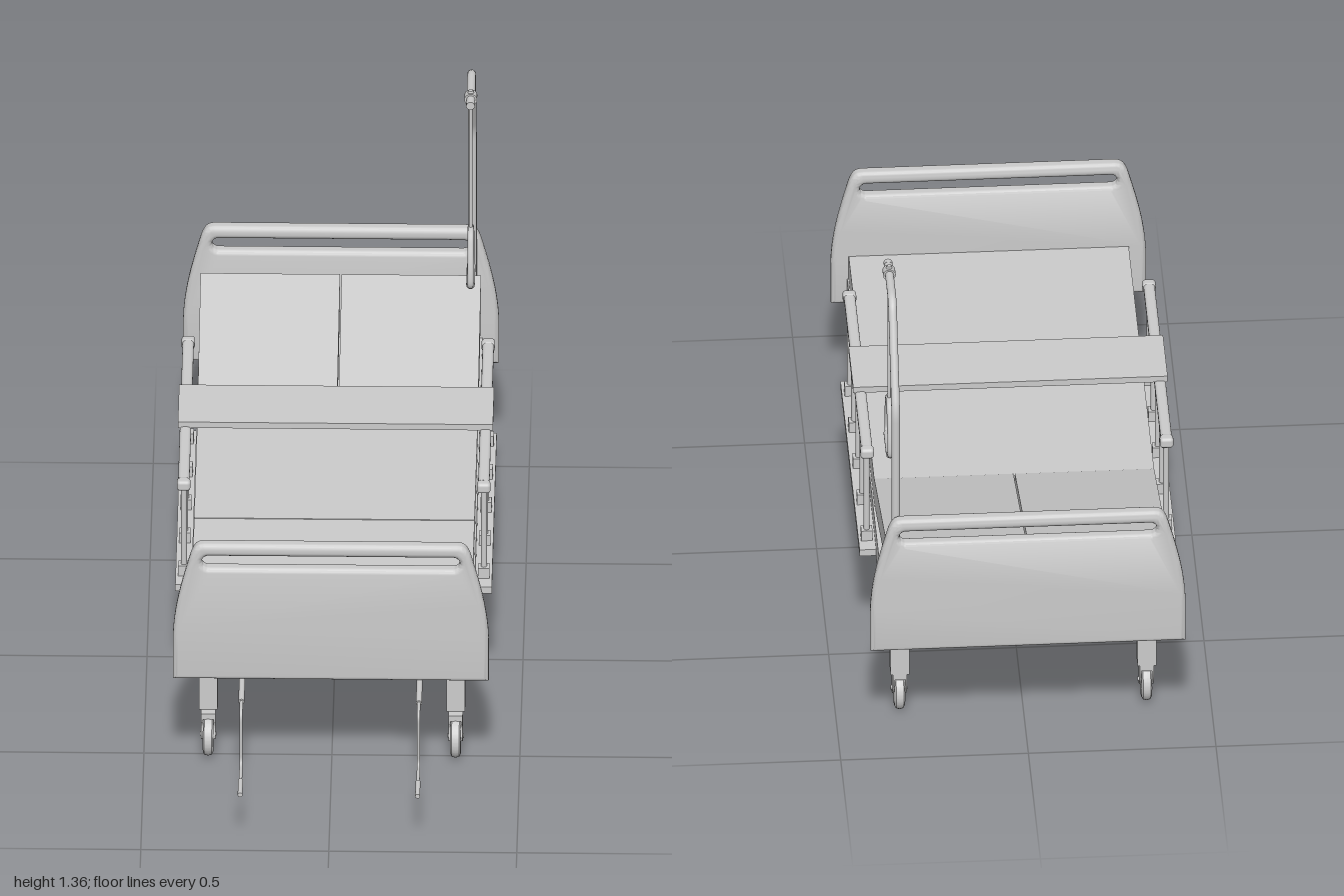
import * as THREE from 'three';
import { toCreasedNormals } from 'three/addons/utils/BufferGeometryUtils.js';
import { RoundedBoxGeometry } from 'three/addons/geometries/RoundedBoxGeometry.js';

const grey = new THREE.MeshStandardMaterial({ color: 0xcccccc });
const V = (x, y, z) => new THREE.Vector3(x, y, z);

function add(parent, name, geometry, x = 0, y = 0, z = 0) {
  const mesh = new THREE.Mesh(geometry, grey);
  mesh.name = name;
  mesh.position.set(x, y, z);
  parent.add(mesh);
  return mesh;
}

// Box given by its extents
function box(parent, name, x0, x1, y0, y1, z0, z1) {
  return add(parent, name, new THREE.BoxGeometry(x1 - x0, y1 - y0, z1 - z0),
    (x0 + x1) / 2, (y0 + y1) / 2, (z0 + z1) / 2);
}

// Round bar between two points
function rod(parent, name, a, b, r) {
  const mesh = add(parent, name, new THREE.CylinderGeometry(r, r, a.distanceTo(b), 16));
  mesh.position.copy(a).add(b).multiplyScalar(0.5);
  mesh.quaternion.setFromUnitVectors(V(0, 1, 0), b.clone().sub(a).normalize());
  return mesh;
}

// Path of straight runs with rounded corners
function roundedPath(points, radius) {
  const path = new THREE.CurvePath();
  let from = points[0];
  for (let i = 1; i < points.length - 1; i++) {
    const p = points[i];
    const toward = (q) => p.clone().add(q.clone().sub(p).setLength(radius));
    const a = toward(points[i - 1]), b = toward(points[i + 1]);
    path.add(new THREE.LineCurve3(from, a));
    path.add(new THREE.QuadraticBezierCurve3(a, p, b));
    from = b;
  }
  path.add(new THREE.LineCurve3(from, points[points.length - 1]));
  return path;
}

// Head or foot panel with a hand slot and rounded rim
function endBoard(parent, name, z) {
  const s = new THREE.Shape();
  s.moveTo(-0.42, 0.34);
  s.lineTo(0.42, 0.34);
  s.lineTo(0.42, 0.47);
  s.bezierCurveTo(0.417, 0.56, 0.395, 0.64, 0.376, 0.71);
  s.bezierCurveTo(0.368, 0.74, 0.36, 0.757, 0.335, 0.757);
  s.lineTo(-0.335, 0.757);
  s.bezierCurveTo(-0.36, 0.757, -0.368, 0.74, -0.376, 0.71);
  s.bezierCurveTo(-0.395, 0.64, -0.417, 0.56, -0.42, 0.47);
  const h = new THREE.Path();
  h.moveTo(-0.325, 0.684);
  h.absarc(-0.325, 0.702, 0.018, -Math.PI / 2, Math.PI / 2, true);
  h.lineTo(0.325, 0.72);
  h.absarc(0.325, 0.702, 0.018, Math.PI / 2, -Math.PI / 2, true);
  s.holes.push(h);
  const g = new THREE.ExtrudeGeometry(s, {
    depth: 0.012, curveSegments: 10, bevelEnabled: true, bevelSegments: 4,
    bevelSize: 0.014, bevelThickness: 0.014, bevelOffset: -0.014,
  });
  g.translate(0, 0, -0.006);
  add(parent, name, toCreasedNormals(g, 0.7), 0, 0, z);
}

// Leg with a swivel wheel
function leg(parent, x, z) {
  const g = new THREE.Group();
  g.name = 'leg';
  g.position.set(x, 0, z);
  parent.add(g);
  box(g, 'legPost', -0.025, 0.025, 0.13, 0.345, -0.021, 0.021);
  box(g, 'casterPlate', -0.019, 0.019, 0.113, 0.13, -0.02, 0.044);
  const tyre = [[0, -0.014], [0.048, -0.014], [0.056, -0.01], [0.059, 0], [0.056, 0.01], [0.048, 0.014], [0, 0.014]];
  const wheel = add(g, 'wheel',
    toCreasedNormals(new THREE.LatheGeometry(tyre.map((p) => new THREE.Vector2(...p)), 32), 0.6), 0, 0.059, 0.026);
  wheel.rotation.z = Math.PI / 2;
  // Curved fork cheeks on both sides of the wheel
  const s = new THREE.Shape();
  s.moveTo(-0.02, 0.122);
  s.lineTo(-0.02, 0.095);
  s.quadraticCurveTo(-0.008, 0.07, 0.012, 0.054);
  s.absarc(0.026, 0.059, 0.015, -2.8, 0.3, false);
  s.quadraticCurveTo(0.03, 0.09, 0.044, 0.105);
  s.lineTo(0.044, 0.122);
  for (const side of [-1, 1]) {
    const cheek = new THREE.ExtrudeGeometry(s, { depth: 0.005, bevelEnabled: false });
    cheek.rotateY(-Math.PI / 2);
    add(g, 'fork', toCreasedNormals(cheek, 0.6), side * 0.0165 + 0.0025, 0, 0);
  }
  const axle = add(g, 'axle', new THREE.CylinderGeometry(0.006, 0.006, 0.044, 16), 0, 0.059, 0.026);
  axle.rotation.z = Math.PI / 2;
}

// Side guard: lower rail, five posts and a hand rail
function sideRail(parent, side) {
  const g = new THREE.Group();
  g.name = side > 0 ? 'leftSideRail' : 'rightSideRail';
  parent.add(g);
  const x = side * 0.399;
  box(g, 'lowerRail', x - 0.022, x + 0.022, 0.35, 0.37, -0.555, 0.243);
  for (let i = 0; i < 5; i++) {
    const z = 0.185 - i * 0.171;
    add(g, 'post', new THREE.CylinderGeometry(0.008, 0.008, 0.29, 16), x, 0.51, z);
    add(g, 'postBase', new THREE.BoxGeometry(0.03, 0.032, 0.028), x, 0.385, z);
    add(g, 'postCap', new THREE.BoxGeometry(0.024, 0.02, 0.024), x, 0.643, z);
  }
  add(g, 'handRail', new RoundedBoxGeometry(0.03, 0.027, 0.73, 3, 0.009), x, 0.662, -0.155);
  for (const z of [0.212, -0.522])
    add(g, 'railEnd', new RoundedBoxGeometry(0.036, 0.03, 0.03, 3, 0.009), x, 0.662, z);
}

// Folding hand crank at the foot end
function crank(parent, x) {
  const g = new THREE.Group();
  g.name = 'crank';
  g.position.x = x;
  parent.add(g);
  rod(g, 'crankShaft', V(0, 0.334, 0.64), V(0, 0.334, 0.788), 0.008);
  const path = roundedPath([V(0, 0.334, 0.78), V(0, 0.334, 0.845), V(0, 0.172, 0.84), V(0, 0.172, 0.94)], 0.025);
  add(g, 'crankArm', new THREE.TubeGeometry(path, 48, 0.0045, 10));
  rod(g, 'crankHandle', V(0, 0.172, 0.925), V(0, 0.172, 1), 0.0065);
}

// Overhead pole with a hanging grip
function liftPole(parent) {
  const g = new THREE.Group();
  g.name = 'liftPole';
  g.position.x = 0.35;
  parent.add(g);
  const path = roundedPath([V(0, 0.35, -0.945), V(0, 1.08, -0.945), V(0, 1.34, -0.808), V(0, 1.34, -0.626)], 0.03);
  add(g, 'pole', new THREE.TubeGeometry(path, 100, 0.0115, 14));
  rod(g, 'poleEnd', V(0, 1.34, -0.64), V(0, 1.34, -0.625), 0.0118);
  const clamp = add(g, 'clamp', new THREE.CylinderGeometry(0.017, 0.017, 0.026, 20), 0, 1.339, -0.672);
  clamp.rotation.x = Math.PI / 2;
  add(g, 'clampKnob', new THREE.CylinderGeometry(0.006, 0.012, 0.018, 16), 0, 1.352, -0.672);
  rod(g, 'strap', V(0, 0.925, -0.672), V(0, 1.335, -0.672), 0.0045);
  const c = -0.672;
  const loop = new THREE.CatmullRomCurve3([
    V(0, 0.927, c - 0.02), V(0, 0.927, c + 0.02), V(0, 0.895, c + 0.041), V(0, 0.83, c + 0.063),
    V(0, 0.797, c + 0.064), V(0, 0.788, c + 0.05), V(0, 0.788, c - 0.05), V(0, 0.797, c - 0.064),
    V(0, 0.83, c - 0.063), V(0, 0.895, c - 0.041)], true, 'centripetal');
  add(g, 'gripFrame', new THREE.TubeGeometry(loop, 80, 0.0085, 10, true));
  rod(g, 'grip', V(0, 0.788, c - 0.052), V(0, 0.788, c + 0.052), 0.0115);
}

export function createModel() {
  const bed = new THREE.Group();
  bed.name = 'adjustableBed';

  box(bed, 'bedFrame', -0.377, 0.377, 0.342, 0.422, -0.96, 0.652);
  endBoard(bed, 'footBoard', 0.668);
  endBoard(bed, 'headBoard', -0.978);

  // Mattress: foot and middle sections, raised two-piece back section
  box(bed, 'footMattress', -0.373, 0.373, 0.42, 0.496, 0.111, 0.645);
  box(bed, 'middleMattress', -0.373, 0.373, 0.42, 0.496, -0.415, 0.108);
  const back = new THREE.Group();
  back.name = 'backMattress';
  back.position.set(0, 0.425, -0.43);
  back.rotation.x = 0.268;
  bed.add(back);
  for (const s of [-1, 1])
    add(back, 'backHalf', new THREE.BoxGeometry(0.371, 0.076, 0.53), s * 0.1875, 0.038, -0.265);

  // Legs and their cross bars
  for (const z of [0.468, -0.778]) {
    for (const x of [-0.329, 0.329]) leg(bed, x, z);
    box(bed, 'crossBar', -0.31, 0.31, 0.265, 0.315, z - 0.015, z + 0.015);
  }

  for (const s of [-1, 1]) {
    sideRail(bed, s);
    crank(bed, s * 0.236);
  }

  // Table laid across the side rails
  box(bed, 'overbedTable', -0.419, 0.419, 0.672, 0.69, -0.257, -0.063);

  liftPole(bed);
  return bed;
}
